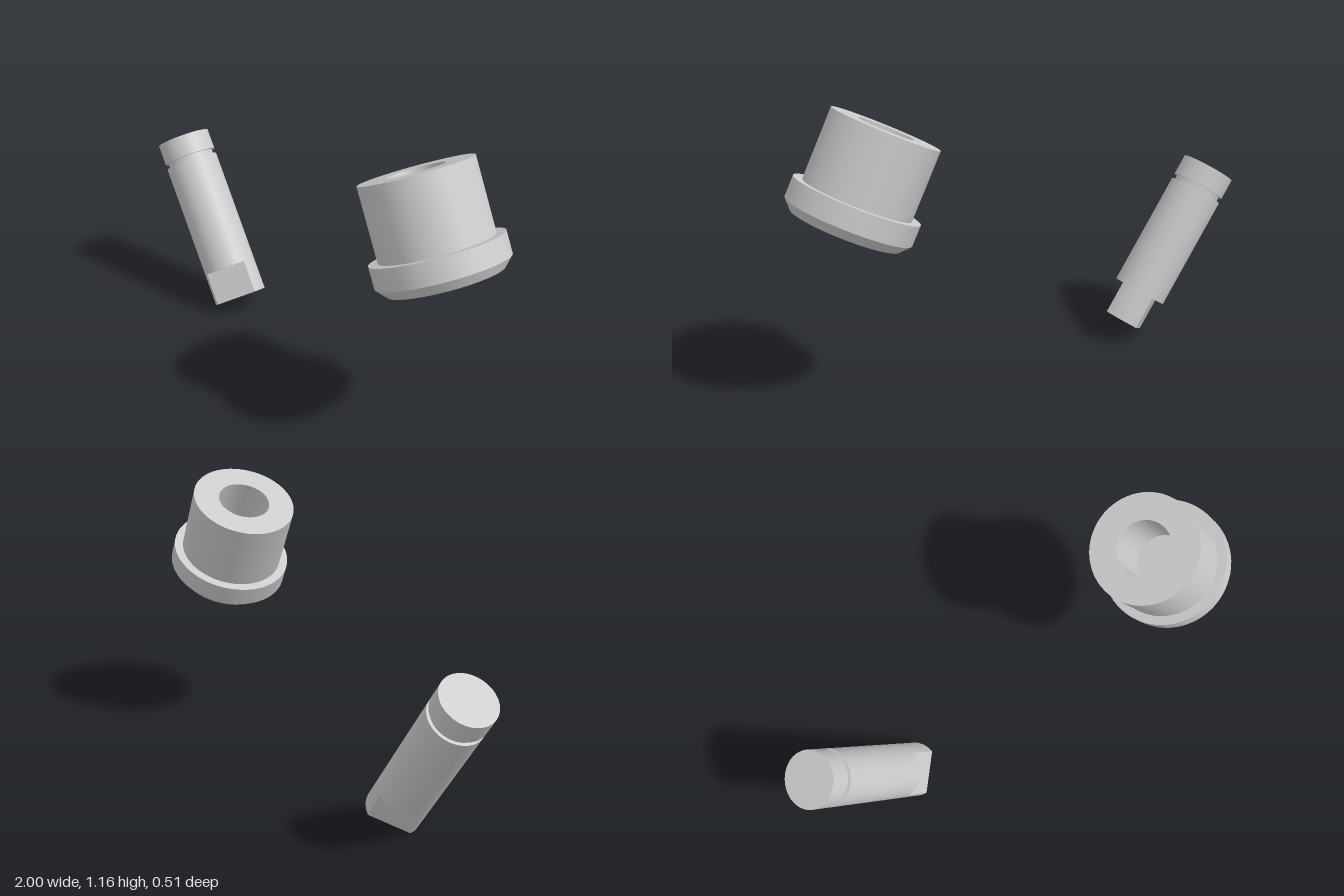
import * as THREE from 'three';
import { toCreasedNormals } from 'three/addons/utils/BufferGeometryUtils.js';

const material = new THREE.MeshStandardMaterial({ color: 0xcccccc });

function addPart(parent, name, geometry) {
  const mesh = new THREE.Mesh(toCreasedNormals(geometry, 0.4), material);
  mesh.name = name;
  parent.add(mesh);
}

// Turned solid from [radius, height] pairs
function turned(profile) {
  return new THREE.LatheGeometry(profile.map(([r, y]) => new THREE.Vector2(r, y)), 64);
}

function createPin() {
  const pin = new THREE.Group();
  pin.name = 'pin';
  const r = 0.116, length = 0.761, flatHeight = 0.144, flatDistance = 0.0725;
  const holeRim = 0.054, holeRadius = 0.046;

  // Round shank with a narrow groove below the head
  addPart(pin, 'shank', turned([
    [holeRim, flatHeight], [r, flatHeight], [r, length - 0.113],
    [0.103, length - 0.113], [0.103, length - 0.091],
    [r, length - 0.091], [r, length], [0, length],
  ]));

  // Foot with two parallel flats, turned 45 degrees
  const normal = -Math.PI / 4;
  const a = Math.acos(flatDistance / r);
  const outline = new THREE.Shape();
  outline.absarc(0, 0, r, normal + a, normal + Math.PI - a, false);
  outline.absarc(0, 0, r, normal + Math.PI + a, normal + 2 * Math.PI - a, false);
  outline.closePath();
  const hole = new THREE.Path();
  hole.absarc(0, 0, holeRim, 0, Math.PI * 2, true);
  outline.holes.push(hole);
  const foot = new THREE.ExtrudeGeometry(outline, { depth: flatHeight, bevelEnabled: false, curveSegments: 32 });
  foot.rotateX(-Math.PI / 2);
  addPart(pin, 'flattedFoot', foot);

  // Blind hole with a chamfered mouth
  addPart(pin, 'footHole', turned([
    [0, 0.3], [holeRadius, 0.3], [holeRadius, 0.008], [holeRim, 0],
  ]));
  return pin;
}

function createBushing() {
  const bushing = new THREE.Group();
  bushing.name = 'bushing';
  const bore = 0.11, seat = 0.12;

  // Flanged sleeve with a conical recess underneath
  addPart(bushing, 'flangedSleeve', turned([
    [bore, seat], [0.1815, 0], [0.219, 0], [0.254, 0.038], [0.254, 0.124],
    [0.218, 0.124], [0.218, 0.411], [bore, 0.411], [bore, seat],
  ]));

  // Domed plug closing the bore: round below, flat above
  const dome = [];
  for (let i = 0; i <= 16; i++) {
    const t = (i / 16) * Math.PI / 2;
    dome.push([bore * Math.sin(t), seat - bore * Math.cos(t)]);
  }
  dome.push([0, seat]);
  addPart(bushing, 'domedPlug', turned(dome));
  return bushing;
}

export function createModel() {
  const model = new THREE.Group();
  model.name = 'pinAndBushing';

  const pin = createPin();
  pin.position.set(-0.483, 0.0635, 0.024);
  pin.rotation.z = 0.585;

  const bushing = createBushing();
  bushing.position.set(0.786, 0.695, 0);
  bushing.rotation.z = 0.453;

  model.add(pin, bushing);
  return model;
}
